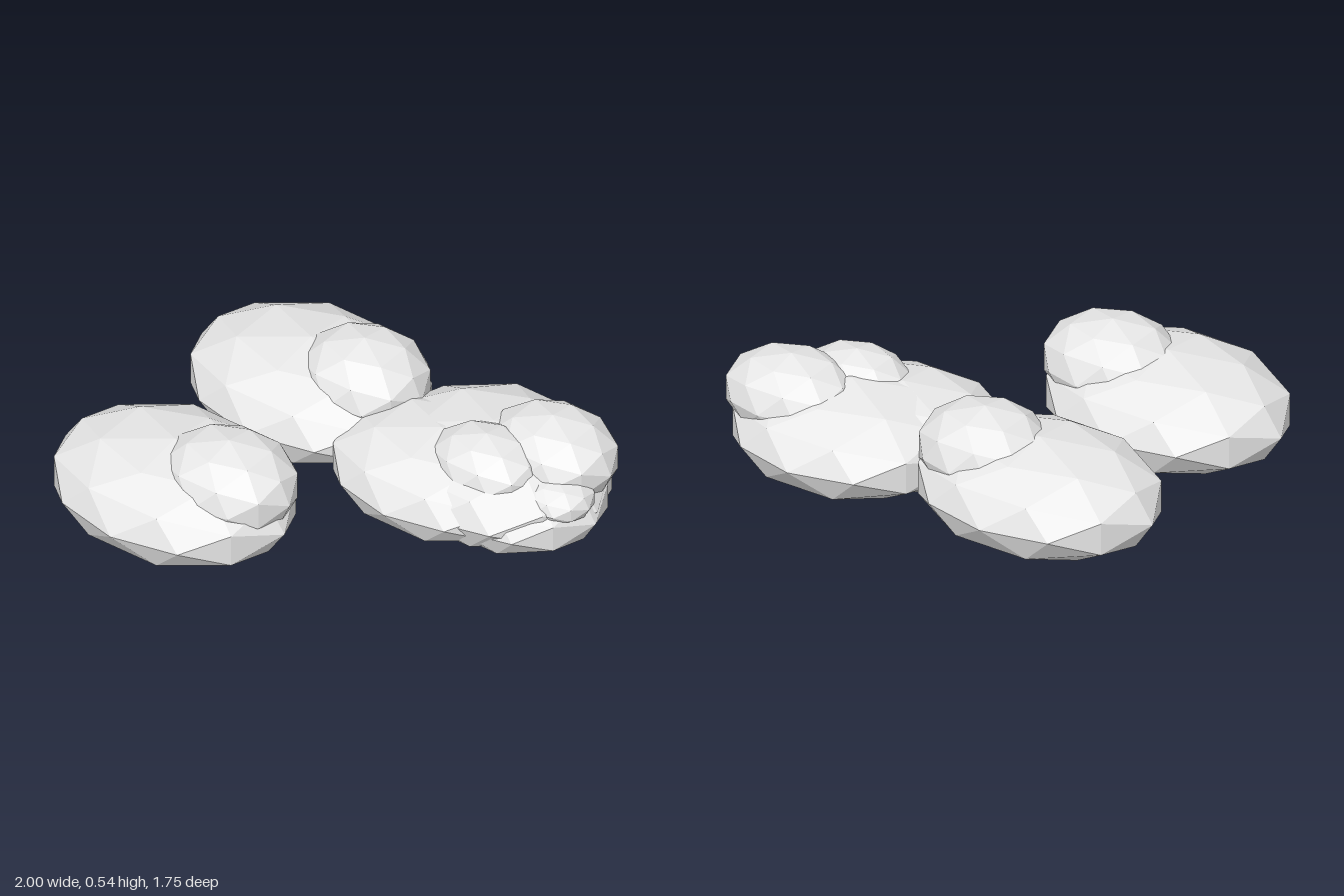
import * as THREE from 'three';

export function createModel() {
  const group = new THREE.Group();
  const stone = new THREE.MeshStandardMaterial({ color: 0xe7e7e7, flatShading: true });
  stone.name = 'pale stone';

  // Faceted, flattened boulder: centre and radii along x, y, z
  function boulder(name, centre, radii) {
    const geo = new THREE.IcosahedronGeometry(1, 1);
    geo.rotateX(Math.PI / 2);
    geo.scale(...radii);
    geo.computeVertexNormals();
    const mesh = new THREE.Mesh(geo, stone);
    mesh.name = name;
    mesh.position.set(...centre);
    group.add(mesh);
  }

  // Front right pair
  boulder('frontBoulder', [-0.457, 0.233, 0.445], [0.543, 0.23, 0.428]);
  boulder('frontCapStone', [-0.215, 0.352, 0.41], [0.3, 0.192, 0.258]);

  // Back right pair
  boulder('backBoulder', [-0.43, 0.233, -0.415], [0.543, 0.23, 0.423]);
  boulder('backCapStone', [-0.192, 0.352, -0.45], [0.283, 0.192, 0.257]);

  // Left cluster: three base boulders
  boulder('clusterBackBoulder', [0.465, 0.226, -0.425], [0.515, 0.222, 0.453]);
  boulder('clusterFrontBoulder', [0.308, 0.215, -0.293], [0.488, 0.207, 0.382]);
  boulder('clusterSideBoulder', [0.61, 0.197, -0.388], [0.39, 0.185, 0.36]);

  // Left cluster: smaller stones on top
  boulder('clusterTopStone', [0.695, 0.352, -0.512], [0.288, 0.175, 0.24]);
  boulder('clusterMiddleStone', [0.533, 0.34, -0.29], [0.248, 0.156, 0.2]);
  boulder('clusterSmallStone', [0.828, 0.288, -0.352], [0.167, 0.09, 0.155]);

  return group;
}
